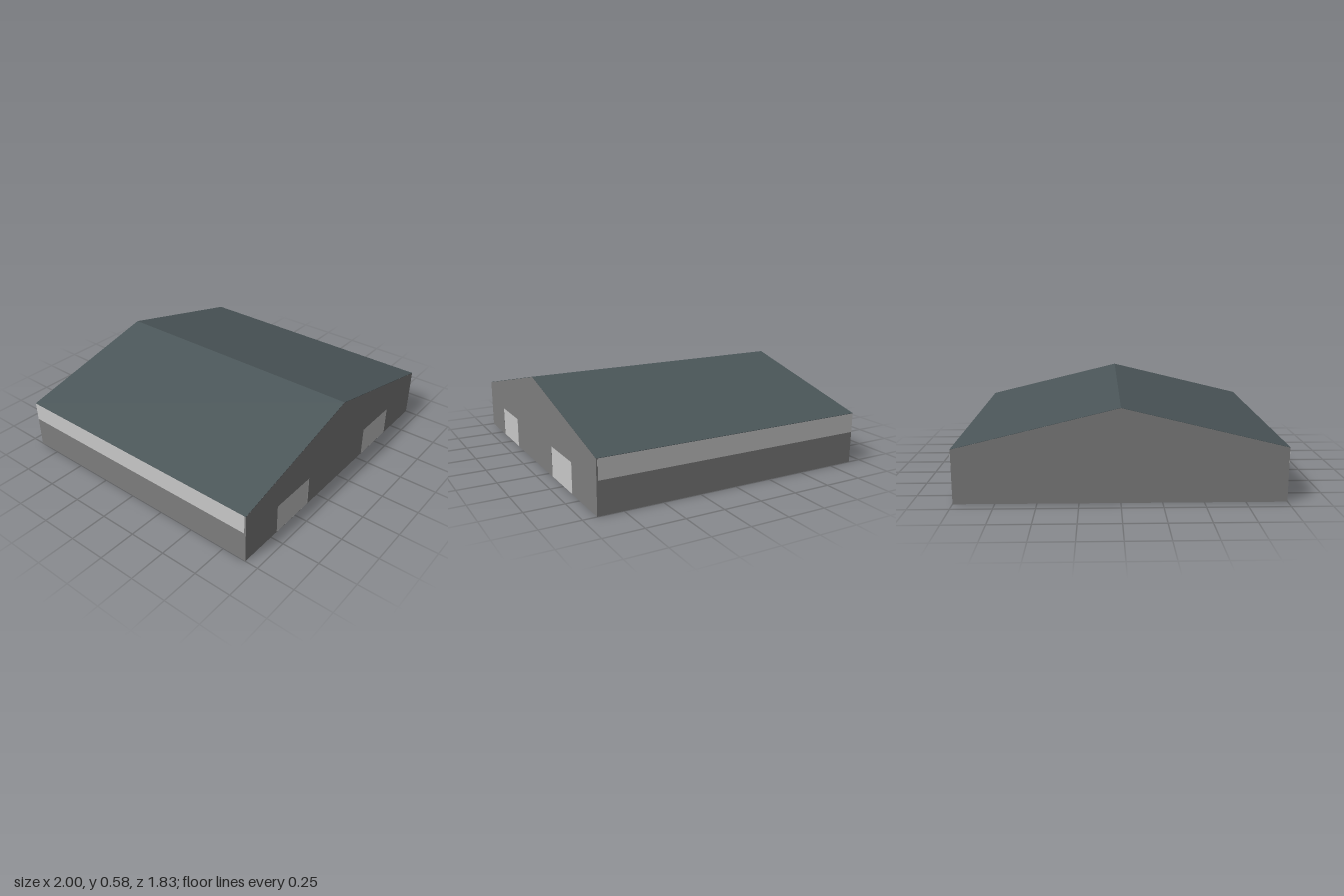
import * as THREE from 'three';

const W = 0.999, D = 0.913, EAVE = 0.337, RIDGE = 0.58, T = 0.01, BAND = 0.208, SHEET = 0.002;

export function createModel() {
  const group = new THREE.Group();
  const material = (name, color) => {
    const m = new THREE.MeshStandardMaterial({ color });
    m.name = name;
    return m;
  };
  const wall = material('wall grey', 0x7d7d7d);
  const panel = material('pale panel', 0xc8c8c8);
  const concrete = material('concrete floor', 0xbababa);
  const roof = material('slate roof', 0x4b5659);

  const add = (name, geometry, mat, x = 0, y = 0, z = 0) => {
    const mesh = new THREE.Mesh(geometry, mat);
    mesh.name = name;
    mesh.position.set(x, y, z);
    group.add(mesh);
  };
  const polygon = (points, Type = THREE.Shape) => new Type(points.map(([x, y]) => new THREE.Vector2(x, y)));
  const extrude = (shape, depth) => new THREE.ExtrudeGeometry(shape, { depth, bevelEnabled: false });

  // Gable walls, kept just under the roof sheets
  const gable = () => polygon([[-W, 0], [W, 0], [W, EAVE - SHEET], [0, RIDGE - SHEET], [-W, EAVE - SHEET]]);
  add('backGable', extrude(gable(), T), wall, 0, 0, -D);

  // Front gable with two door openings; the doors are almost flush, with a gap at one jamb
  const front = gable();
  const doors = [
    { name: 'leftDoor', x0: 0.312, x1: 0.642, gap: 0.005 },
    { name: 'rightDoor', x0: -0.692, x1: -0.358, gap: 0.01 },
  ];
  for (const { name, x0, x1, gap } of doors) {
    front.holes.push(polygon([[x0, 0.001], [x0, 0.2], [x1, 0.2], [x1, 0.001]], THREE.Path));
    const width = x1 - x0 - gap;
    add(name, new THREE.BoxGeometry(width, 0.199, 0.005), panel, x0 + width / 2, 0.1005, D - 0.003);
  }
  add('frontGable', extrude(front, T), wall, 0, 0, D - T);

  // Long side walls with a pale band under the eaves
  const length = 2 * (D - T);
  const bandHeight = EAVE - SHEET - BAND;
  const bandLength = 2 * D - T - 0.001;
  for (const s of [-1, 1]) {
    const side = s > 0 ? 'left' : 'right';
    add(side + 'Wall', new THREE.BoxGeometry(T, BAND, length), wall, s * (W - T / 2), BAND / 2, 0);
    add(side + 'Band', new THREE.BoxGeometry(T, bandHeight, bandLength), panel,
      s * (W + 0.001 - T / 2), BAND + bandHeight / 2, -T / 2);

    // Thin sloping roof sheet
    const edge = s * (W + 0.001);
    const sheet = [[0, RIDGE - SHEET], [edge, EAVE - SHEET], [edge, EAVE], [0, RIDGE]];
    add(side + 'Roof', extrude(polygon(sheet), 2 * D), roof, 0, 0, -D);
  }

  // Floor slab
  add('floor', new THREE.BoxGeometry(2 * (W - T), T, length), concrete, 0, T / 2 + 0.001, 0);
  return group;
}
